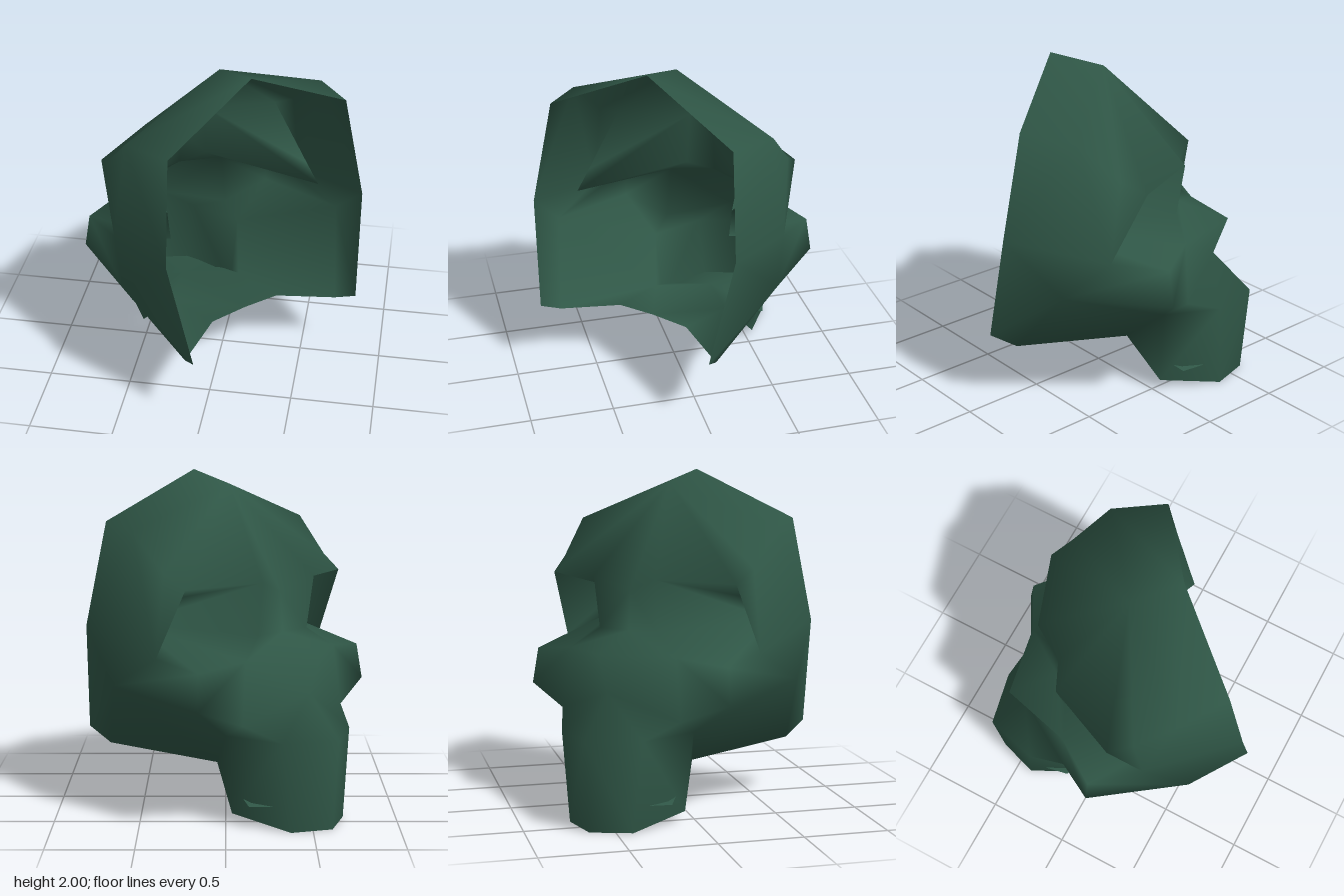
import * as THREE from 'three';
import { mergeVertices } from 'three/addons/utils/BufferGeometryUtils.js';

// Landmarks of one half of the mask: sideways, up, forward
const POINTS = {
  peak: [0, 2, -0.28], crown: [0, 1.93, 0.03], browMid: [0, 1.33, 0.46],
  browIn: [0.21, 1.41, 0.524], browOut: [0.631, 1.39, 0.338],
  templeLow: [0.66, 1.47, 0.19], temple: [0.687, 1.69, -0.045],
  rimTop: [0.615, 1.72, -0.37], rimMid: [0.7, 1.1, -0.465], rimLow: [0.6, 0.45, -0.575],
  rimTuck: [0.56, 0.365, -0.425], palate: [0.26, 0.31, 0.2], jawBack: [0.34, 0.06, 0.41],
  arch: [0.785, 0.8, -0.12], orbitOut: [0.68, 0.98, 0.14],
  cheekTop: [0.66, 0.94, 0.47], cheekLow: [0.685, 0.73, 0.495], cheekMid: [0.41, 0.62, 0.57],
  orbitLow: [0.365, 0.98, 0.545], bridge: [0, 1.1, 0.48], bridgeSide: [0.2, 1.1, 0.48],
  noseTip: [0, 1.0, 0.78], noseBase: [0, 0.77, 0.7],
  lip: [0, 0.53, 0.93], lipSide: [0.28, 0.53, 0.757], jawTop: [0.41, 0.54, 0.43],
  chin: [0, 0, 0.89], chinSide: [0.22, 0, 0.77],
  eyeUpper: [0.5, 1.24, -0.17], eyeDeep: [0.53, 1.12, -0.25],
  floorBack: [0.24, 0.4, -0.24], floorMid: [0, 0.41, -0.24], palateMid: [0, 0.28, 0.45],
  roofBack: [0.34, 0.13, 0.55], roofSide: [0.22, 0.15, 0.75], roofMid: [0, 0.15, 0.88],
};

// Triangles of each part, counter-clockwise from outside
const PARTS = {
  forehead: ['peak crown temple', 'peak temple rimTop', 'crown browMid browIn',
    'crown browIn browOut', 'crown browOut templeLow', 'crown templeLow temple'],
  side: ['temple templeLow orbitOut', 'templeLow browOut orbitOut', 'temple orbitOut rimMid',
    'orbitOut arch rimMid', 'temple rimMid rimTop', 'orbitOut cheekTop arch',
    'cheekTop cheekLow arch', 'arch rimLow rimMid', 'arch cheekLow jawTop',
    'arch jawTop palate', 'arch palate rimTuck', 'arch rimTuck rimLow'],
  nose: ['browMid bridge bridgeSide', 'browMid bridgeSide browIn', 'bridge noseTip orbitLow',
    'bridge orbitLow bridgeSide', 'noseTip noseBase orbitLow'],
  cheek: ['noseBase lipSide cheekMid', 'noseBase cheekMid orbitLow',
    'orbitLow cheekMid cheekLow', 'orbitLow cheekLow cheekTop',
    'lipSide jawTop cheekMid', 'cheekMid jawTop cheekLow'],
  jaw: ['noseBase lip lipSide', 'lip chin chinSide', 'lip chinSide lipSide',
    'lipSide chinSide jawBack', 'lipSide jawBack jawTop', 'jawTop jawBack palate'],
  eyeSocket: ['browIn bridgeSide eyeDeep', 'browIn eyeDeep eyeUpper', 'browIn eyeUpper browOut',
    'browOut eyeUpper orbitOut', 'orbitOut eyeUpper eyeDeep', 'bridgeSide orbitLow eyeDeep',
    'orbitLow cheekTop eyeDeep', 'cheekTop orbitOut eyeDeep'],
  // Floor across the open back and roof of the mouth
  mouthRoof: ['floorBack rimTuck palate', 'floorMid floorBack palate',
    'floorMid palate palateMid', 'palateMid palate roofBack',
    'palateMid roofBack roofSide', 'palateMid roofSide roofMid'],
};

export function createModel() {
  const green = new THREE.MeshStandardMaterial({ color: 0x2f5646, side: THREE.DoubleSide });
  green.name = 'dark green';

  // Both halves share one smooth skin
  const positions = [];
  for (const triangles of Object.values(PARTS)) {
    for (const triangle of triangles) {
      const corners = triangle.split(' ').map((name) => POINTS[name]);
      for (const [x, y, z] of corners) positions.push(x, y, z);
      for (const [x, y, z] of [...corners].reverse()) positions.push(-x, y, z);
    }
  }
  const triangles = new THREE.BufferGeometry();
  triangles.setAttribute('position', new THREE.Float32BufferAttribute(positions, 3));
  const skin = mergeVertices(triangles);
  skin.computeVertexNormals();

  const mask = new THREE.Mesh(skin, green);
  mask.name = 'skullMask';
  // The face looks towards the back right corner
  mask.rotation.y = Math.atan2(-0.69, -0.725);

  const group = new THREE.Group();
  group.name = 'halfSkullMask';
  group.add(mask);
  return group;
}
